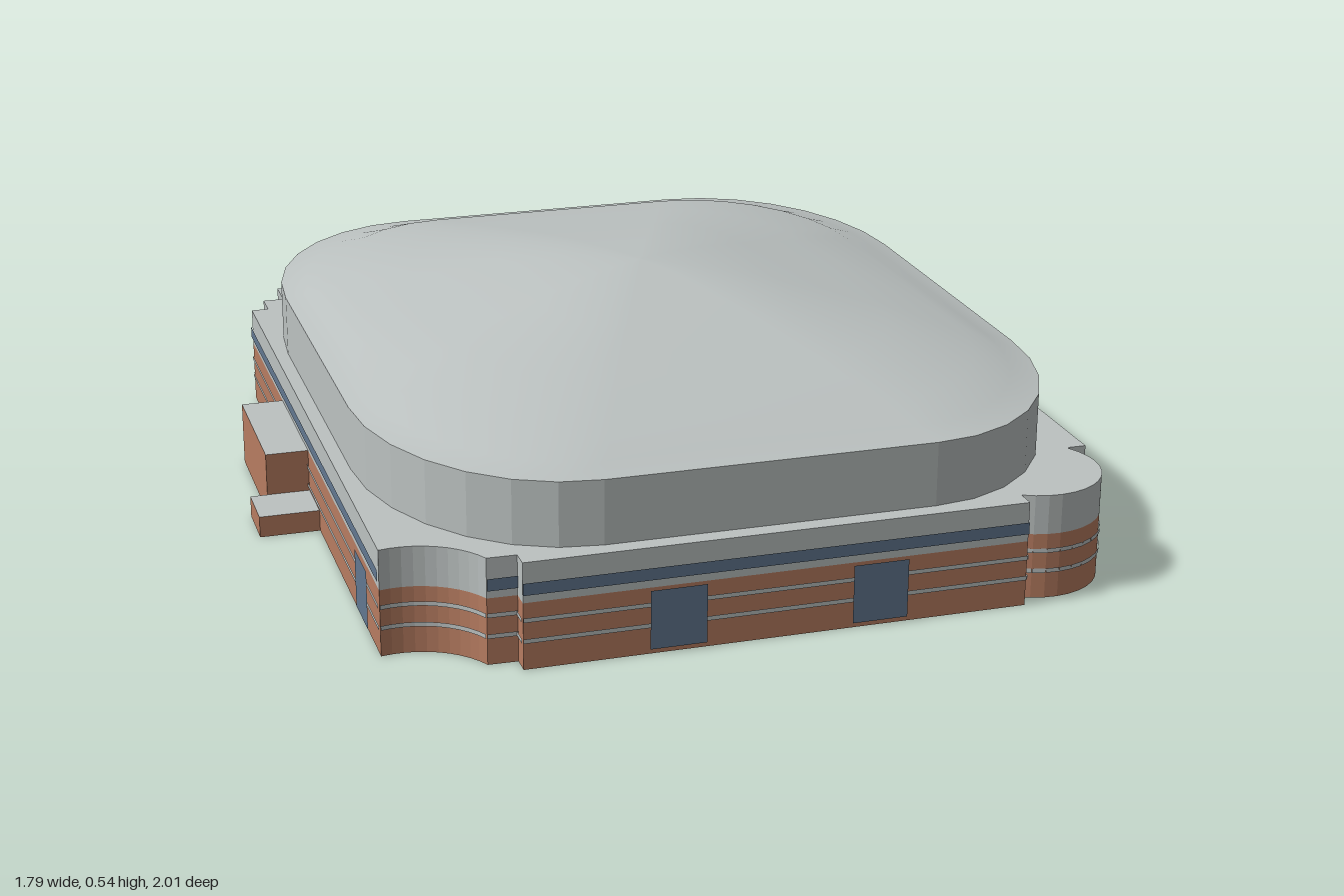
import * as THREE from 'three';

export function createModel() {
  const model = new THREE.Group();
  const paint = (name, color) => {
    const m = new THREE.MeshStandardMaterial({ color, side: THREE.DoubleSide });
    m.name = name;
    return m;
  };
  const brick = paint('brick', 0xb87d61);
  const concrete = paint('concrete', 0xbcc2c1);
  const glass = paint('glass', 0x627890);

  const add = (name, geometry, material) => {
    const mesh = new THREE.Mesh(geometry, material);
    mesh.name = name;
    model.add(mesh);
    return mesh;
  };
  // Points along an arc, angles in degrees, in the x-z plane
  const arc = (cx, cz, r, from, to, n = 10) =>
    Array.from({ length: n + 1 }, (_, i) => {
      const a = THREE.MathUtils.degToRad(from + ((to - from) * i) / n);
      return [cx + r * Math.cos(a), cz + r * Math.sin(a)];
    });
  // Upright strip following a line of [x, z] points, pushed outward by offset
  const band = (name, points, y0, y1, material, offset = 0) => {
    const pos = [];
    for (let i = 0; i + 1 < points.length; i++) {
      const [ax, az] = points[i];
      const [bx, bz] = points[i + 1];
      const len = Math.hypot(bx - ax, bz - az);
      if (len < 1e-6) continue;
      const ox = (-(bz - az) / len) * offset;
      const oz = ((bx - ax) / len) * offset;
      const a = [ax + ox, az + oz], b = [bx + ox, bz + oz];
      for (const [p, y] of [[a, y0], [b, y0], [b, y1], [a, y0], [b, y1], [a, y1]]) pos.push(p[0], y, p[1]);
    }
    const g = new THREE.BufferGeometry();
    g.setAttribute('position', new THREE.Float32BufferAttribute(pos, 3));
    g.computeVertexNormals();
    return add(name, g, material);
  };
  // Flat horizontal slab over an outline
  const deck = (name, points, y) => {
    const shape = new THREE.Shape(points.map(([x, z]) => new THREE.Vector2(x, -z)));
    const g = new THREE.ShapeGeometry(shape);
    g.rotateX(-Math.PI / 2);
    g.translate(0, y, 0);
    return add(name, g, concrete);
  };

  // Building footprint: scooped corner, two round towers, stepped corner
  const outline = [
    ...arc(-0.72, 1.03, 0.182, -102, -25),
    [-0.49, 0.955], [-0.49, 0.997], [0.63, 0.997],
    ...arc(0.71, 0.815, 0.16, 120, -32, 14),
    [0.85, 0.727], [0.89, 0.727], [0.89, -0.75], [0.84, -0.75],
    ...arc(0.705, -0.83, 0.16, 30, -118, 14),
    [0.63, -1], [0.38, -1], [0.38, -0.963], [-0.5, -0.963], [-0.5, -0.953],
    [-0.587, -0.953], [-0.587, -0.916], [-0.663, -0.916], [-0.663, -0.825],
    [-0.715, -0.825], [-0.715, -0.755], [-0.757, -0.755],
  ];
  const closed = [...outline, outline[0]];
  band('lowerWall', closed, 0, 0.15, brick);
  band('upperWall', closed, 0.15, 0.24, concrete);
  for (const y of [0.06, 0.107]) band('wallStripe', closed, y, y + 0.01, concrete, 0.003);
  deck('mainRoof', outline, 0.24);

  // Ribbon glazing under the roof on every straight side
  const ribbons = [
    [[-0.49, 0.997], [0.63, 0.997]],
    [[0.89, 0.727], [0.89, -0.745]],
    [[0.63, -1], [0.38, -1]],
    [[0.38, -0.963], [-0.5, -0.963]],
    [[-0.757, -0.755], [-0.757, 0.85]],
  ];
  for (const line of ribbons) band('ribbonWindow', line, 0.168, 0.195, glass, 0.004);
  band('ribbonWindow', [[-0.555, 0.955], [-0.49, 0.955]], 0.168, 0.195, glass, 0.004);

  // Tall windows
  const w = 0.062;
  for (const x of [-0.157, 0.292]) band('frontWindow', [[x - w, 0.997], [x + w, 0.997]], 0.012, 0.145, glass, 0.006);
  for (const z of [0.29, -0.3]) band('leftWindow', [[0.89, z + w], [0.89, z - w]], 0.012, 0.145, glass, 0.006);
  for (const x of [0.17, -0.15]) band('backWindow', [[x + w, -0.963], [x - w, -0.963]], 0.012, 0.145, glass, 0.006);
  band('rightWindow', [[-0.757, 0.68 - w], [-0.757, 0.68 + w]], 0.012, 0.145, glass, 0.006);

  // Side annex and its low step
  for (const [name, x, z0, z1, h] of [['annex', -0.857, -0.313, 0.035, 0.15], ['annexStep', -0.897, 0.035, 0.163, 0.05]]) {
    const walls = [[-0.757, z0], [x, z0], [x, z1], [-0.757, z1]];
    band(name + 'Wall', walls, 0, h, brick);
    deck(name + 'Roof', walls, h);
  }

  // Drum and domed roof, both on one rounded rectangle
  const cx = 0.0625, hx = 0.7875, hz = 0.957, rx = 0.42, rz = 0.56, steps = 7;
  const ring = [];
  for (let q = 0; q < 4; q++) {
    const sx = q === 0 || q === 3 ? 1 : -1;
    const sz = q < 2 ? 1 : -1;
    for (let i = 0; i <= steps; i++) {
      const a = (q + i / steps) * Math.PI / 2;
      ring.push([sx * (hx - rx) + rx * Math.cos(a), sz * (hz - rz) + rz * Math.sin(a)]);
    }
  }
  const drum = ring.map(([x, z]) => [x + cx, z]).reverse();
  band('domeDrum', [...drum, drum[0]], 0.24, 0.385, concrete);

  const profile = [[1, 0.385], [0.93, 0.398], [0.84, 0.428], [0.63, 0.464], [0.38, 0.504], [0.23, 0.523], [0.1, 0.533], [0, 0.535]];
  const pos = [], index = [], n = ring.length;
  for (const [s, y] of profile) for (const [x, z] of ring) pos.push(cx + x * s, y, z * s);
  for (let r = 0; r + 1 < profile.length; r++) {
    for (let i = 0; i < n; i++) {
      const a = r * n + i, b = r * n + ((i + 1) % n);
      index.push(a, a + n, b);
      if (r + 2 < profile.length) index.push(b, a + n, b + n);
    }
  }
  const dome = new THREE.BufferGeometry();
  dome.setAttribute('position', new THREE.Float32BufferAttribute(pos, 3));
  dome.setIndex(index);
  dome.computeVertexNormals();
  add('domeRoof', dome, concrete);

  return model;
}
